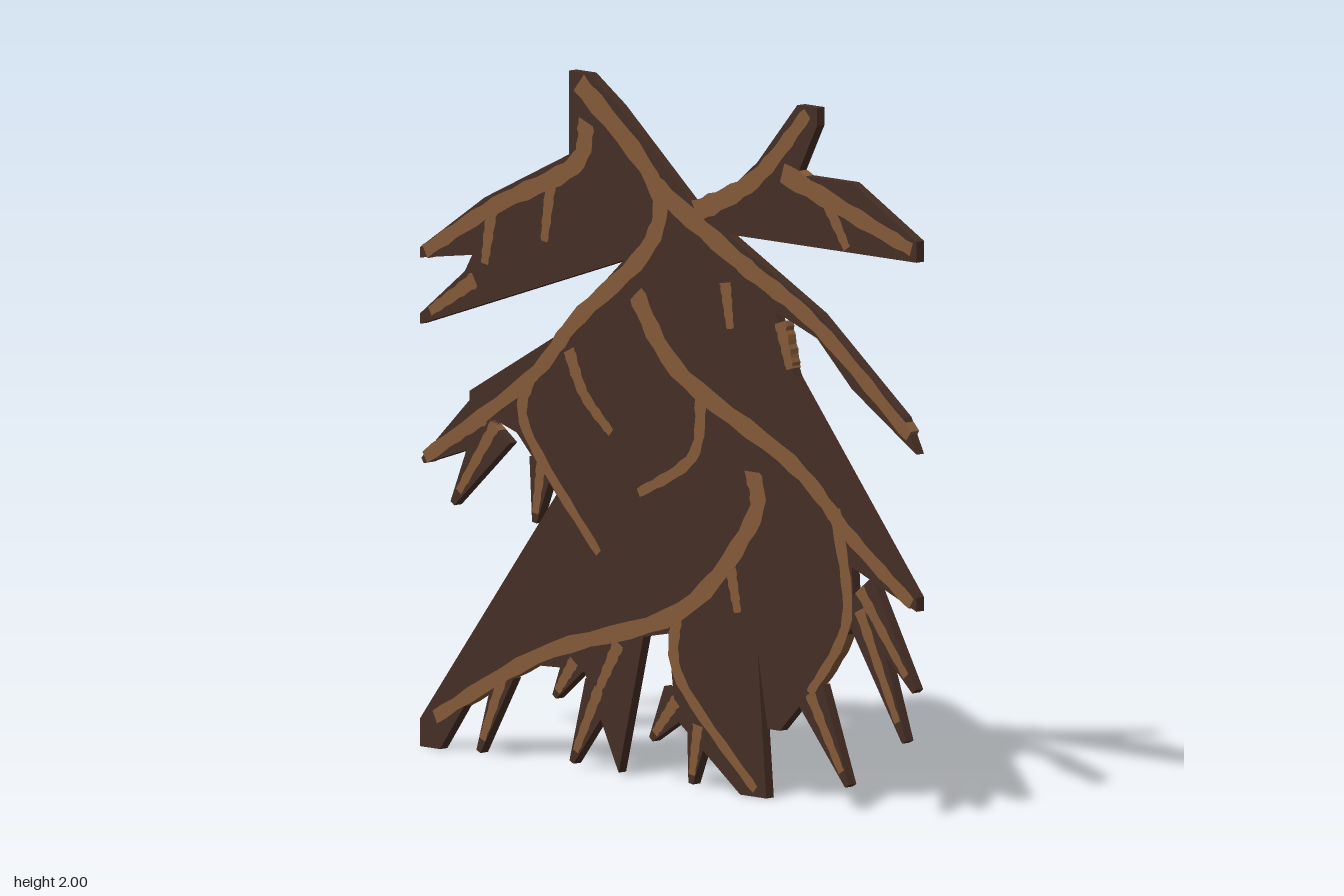
import * as THREE from 'three';

const bark = new THREE.MeshStandardMaterial({ color: 0x452e25 });
bark.name = 'dark bark';
const rootBrown = new THREE.MeshStandardMaterial({ color: 0x835a38 });
rootBrown.name = 'light root';

const THICKNESS = 0.03;

// Bark lobes as flat outlines
const trunkLobe = [
  [-0.4, 1.76], [-0.4, 2], [-0.32, 2], [-0.2, 1.92], [0.1, 1.67], [0.61, 1.41], [0.95, 1.15],
  [1, 1.05], [0.74, 1.21], [0.6, 1.34], [0.43, 1.4], [0.51, 1.22], [1, 0.64], [1, 0.6],
  [0.74, 0.7], [0.75, 0.54], [0.61, 0.36], [0.45, 0.2], [0.4, 0.2], [0.36, 0.42], [0.395, 0],
  [0.29, 0], [0.03, 0.19], [0, 0.43], [-0.1, 0.41], [-0.2, 0.01], [-0.34, 0.29], [-0.58, 0.28],
  [-0.81, 0.15], [-0.92, 0], [-1, 0], [-1, 0.08], [-0.45, 0.78], [-0.61, 0.94], [-0.8, 1],
  [-0.8, 1.04], [-0.46, 1.23], [-0.18, 1.48],
];
const upperLeftLobe = [
  [0.1, 1.67], [0.2, 1.69], [0.36, 1.82], [0.52, 2], [0.6, 2], [0.6, 1.95], [0.52, 1.8],
  [0.74, 1.8], [1, 1.66], [1, 1.6], [0.2, 1.6],
];
const upperRightLobe = [
  [-0.4, 1.76], [-0.74, 1.6], [-1, 1.43], [-1, 1.4], [-0.79, 1.43], [-0.82, 1.38], [-1, 1.24],
  [-1, 1.21], [-0.18, 1.48],
];

// Pointed tips along the fringe: base x, base y, tip x, tip y, base width
const spikes = [
  [0.77, 0.64, 0.99, 0.37, 0.13], [0.77, 0.58, 0.95, 0.22, 0.12], [0.57, 0.32, 0.72, 0.07, 0.12],
  [0.12, 0.18, 0.09, 0.01, 0.09], [0.03, 0.24, -0.07, 0.12, 0.12], [-0.28, 0.24, -0.39, 0.02, 0.12],
  [-0.38, 0.31, -0.46, 0.2, 0.09], [-0.66, 0.25, -0.765, 0.01, 0.08], [-0.51, 0.87, -0.54, 0.69, 0.1],
  [-0.7, 0.95, -0.87, 0.71, 0.15], [-0.74, 0.97, -0.99, 0.82, 0.15],
];

// Centre lines of the light roots
const mainRoots = [
  [[-0.36, 1.97], [-0.06, 1.72], [-0.08, 1.53], [-0.37, 1.29], [-0.56, 1.1], [-0.98, 0.83]],
  [[-0.06, 1.71], [0.28, 1.53], [0.6, 1.375], [0.97, 1.1]],
  [[0.11, 1.65], [0.35, 1.77], [0.56, 1.98]],
  [[0.46, 1.8], [0.98, 1.635]],
  [[-0.33, 1.86], [-0.38, 1.73], [-0.7, 1.58], [-0.98, 1.42]],
  [[-0.13, 1.39], [0.05, 1.18], [0.5, 0.97], [0.73, 0.79], [0.98, 0.62]],
  [[0.34, 0.93], [0.34, 0.79], [0.05, 0.5], [-0.5, 0.32], [-0.94, 0.09]],
];
const sideRoots = [
  [[0.03, 0.47], [0.05, 0.3], [0.35, 0.02]],
  [[0.67, 0.86], [0.72, 0.55], [0.57, 0.32]],
  [[-0.4, 1.2], [-0.34, 1.08], [-0.23, 0.98]],
  [[-0.56, 1.1], [-0.57, 0.95], [-0.28, 0.63]],
  [[0.13, 1.14], [0.1, 0.95], [-0.12, 0.82]],
  [[-0.2, 0.38], [-0.28, 0.24]],
  [[-0.47, 1.69], [-0.5, 1.5]],
  [[-0.71, 1.57], [-0.74, 1.41]],
  [[-0.78, 1.36], [-0.96, 1.25]],
  [[0.63, 1.75], [0.72, 1.61]],
  [[0.23, 1.46], [0.25, 1.33]],
  [[0.45, 1.37], [0.49, 1.24]],
  [[0.25, 0.65], [0.28, 0.52]],
];

// Extrude a flat loop, centred on z = 0
function plate(points, depth, material, name) {
  const shape = new THREE.Shape(points.map(([x, y]) => new THREE.Vector2(x, y)));
  const geometry = new THREE.ExtrudeGeometry(shape, { depth, bevelEnabled: false });
  geometry.translate(0, 0, -depth / 2);
  const mesh = new THREE.Mesh(geometry, material);
  mesh.name = name;
  return mesh;
}

// Tapered, slightly uneven root along a curve, showing on both faces of the bark
function root(path, halfWidth, depth, name) {
  const curve = new THREE.SplineCurve(path.map(([x, y]) => new THREE.Vector2(x, y)));
  const steps = path.length * 6;
  const left = [], right = [];
  for (let i = 0; i <= steps; i++) {
    const t = i / steps;
    const p = curve.getPoint(t), d = curve.getTangent(t);
    const w = halfWidth * (1 - 0.4 * t) * (1 + 0.12 * Math.sin(i * 2.3 + path[0][0] * 9));
    left.push([p.x - d.y * w, p.y + d.x * w]);
    right.unshift([p.x + d.y * w, p.y - d.x * w]);
  }
  return plate([...left, ...right], depth, rootBrown, name);
}

// Narrow bark tip with a thin root running down its middle
function spike([bx, by, tx, ty, width], depth, name) {
  const direction = new THREE.Vector2(tx - bx, ty - by).normalize();
  const corner = (x, y, w) => [x - direction.y * w, y + direction.x * w];
  const tip = 0.009, half = width / 2;
  const outline = [corner(bx, by, half), corner(tx, ty, tip), corner(tx, ty, -tip), corner(bx, by, -half)];
  const end = [bx + (tx - bx) * 0.85, by + (ty - by) * 0.85];
  const group = new THREE.Group();
  group.name = name;
  group.add(plate(outline, THICKNESS, bark, 'barkTip'), root([[bx, by], end], 0.02, depth, 'tipRoot'));
  return group;
}

export function createModel() {
  const group = new THREE.Group();
  group.name = 'rootCluster';
  group.add(plate(trunkLobe, THICKNESS, bark, 'trunkLobe'));
  group.add(plate(upperLeftLobe, THICKNESS, bark, 'upperLeftLobe'));
  group.add(plate(upperRightLobe, THICKNESS, bark, 'upperRightLobe'));
  // Roots stand just proud of the bark
  spikes.forEach((s, i) => group.add(spike(s, THICKNESS + 0.001, 'spike' + (i + 1))));
  sideRoots.forEach((r, i) => group.add(root(r, 0.023, THICKNESS + 0.0015, 'sideRoot' + (i + 1))));
  mainRoots.forEach((r, i) => group.add(root(r, 0.032, THICKNESS + 0.002, 'mainRoot' + (i + 1))));
  return group;
}
